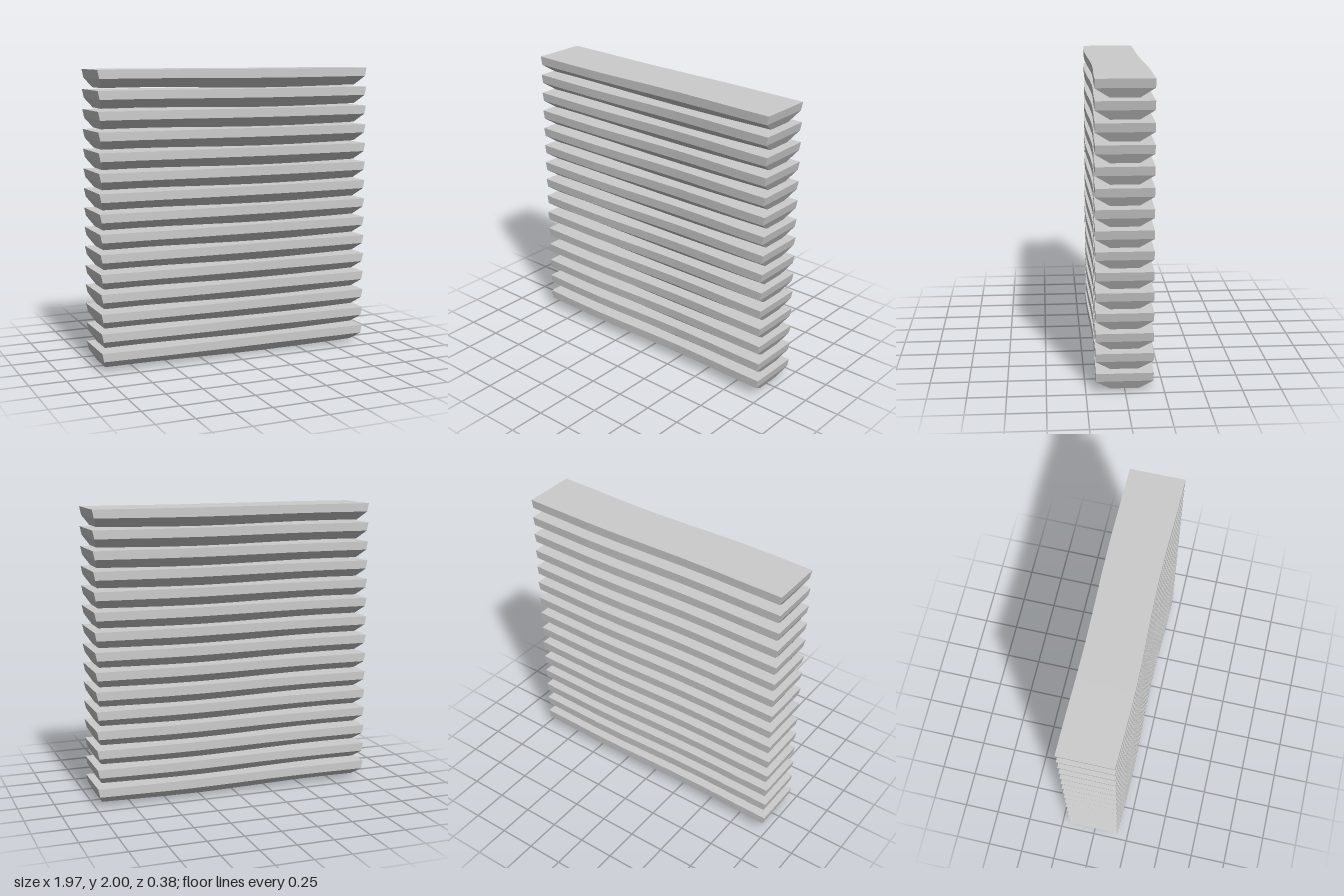
import * as THREE from 'three';

const COUNT = 15;
const PITCH = 2 / COUNT;

// Gentle wave of the given period, peaking at x = peak
const wave = (x, peak, period) => Math.cos((2 * Math.PI * (x - peak)) / period);

// One hewn plank: flat top, upright upper sides, underside bevelled all round.
// Local y = 0 is the lowest point of the underside.
function plankGeometry() {
  const box = new THREE.BoxGeometry(2, 2, 2, 8, 2, 1);
  const p = box.attributes.position;
  // half-length, height and depth factor of the bottom, middle and top rows
  const rows = [
    { half: 0.94, y: 0.009, sag: 0.007, depth: 0.5 },
    { half: 0.973, y: 0.073, sag: 0.003, depth: 1 },
    { half: 0.985, y: 0.132, sag: 0.001, depth: 1 },
  ];
  for (let i = 0; i < p.count; i++) {
    const row = rows[Math.round(p.getY(i)) + 1];
    const x = p.getX(i) * row.half;
    const y = row.y - row.sag * wave(x, 0.25, 1.9);
    const z = p.getZ(i) > 0
      ? 0.178 + 0.009 * wave(x, -0.5, 1.5)
      : -0.185 - 0.005 * wave(x, 0.4, 1.36);
    p.setXYZ(i, x, y, z * row.depth);
  }
  box.computeVertexNormals();
  return box;
}

export function createModel() {
  const group = new THREE.Group();
  group.name = 'plankStack';
  const material = new THREE.MeshStandardMaterial({ color: 0xcccccc, flatShading: true });
  const geometry = plankGeometry();

  // Evenly spaced stack of identical planks
  for (let i = 0; i < COUNT; i++) {
    const plank = new THREE.Mesh(geometry, material);
    plank.name = `plank${i + 1}`;
    plank.position.y = i * PITCH;
    group.add(plank);
  }
  return group;
}
